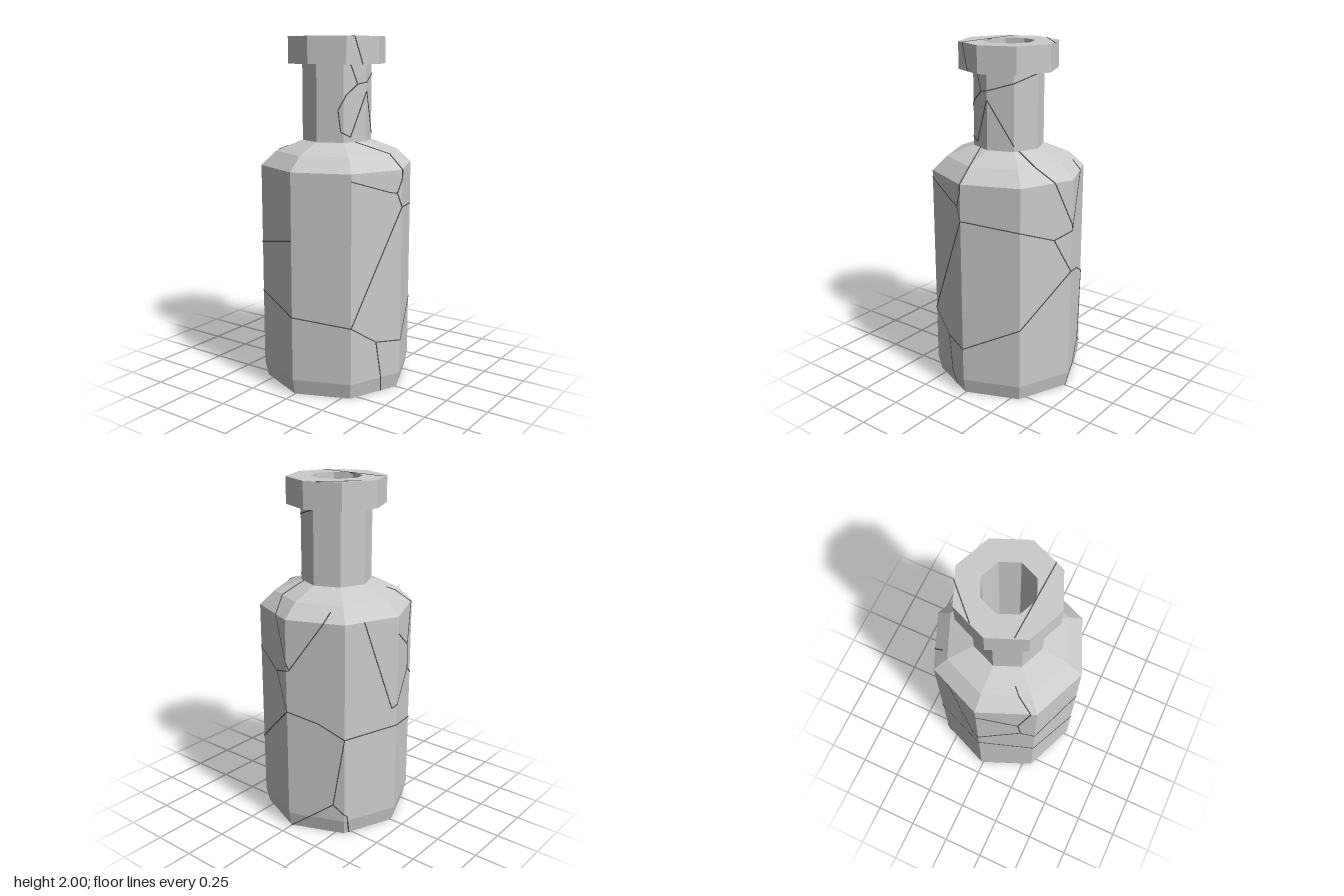
import * as THREE from 'three';
import { mergeGeometries } from 'three/addons/utils/BufferGeometryUtils.js';

const SIDES = 8;
const BODY = [[0.42, 0], [0.44, 0.09], [0.44, 1.28], [0.355, 1.36], [0.2, 1.42], [0.2, 1.85]];
const COLLAR = [[0.28, 1.85], [0.28, 2], [0.145, 2]];
const INSIDE = [[0.145, 1.4], [0.31, 1.33], [0.385, 1.25], [0.385, 0.1], [0.36, 0.06], [0, 0.06]];

// Radius of the outer wall at a height
function radiusAt(y) {
  for (let i = 1; i < BODY.length; i++) {
    const [r0, y0] = BODY[i - 1], [r1, y1] = BODY[i];
    if (y <= y1) return r0 + (r1 - r0) * (y - y0) / (y1 - y0);
  }
  return 0.2;
}

// Point on the eight-sided wall: u counts corners round from the front
function onWall(u, y, r = radiusAt(y)) {
  const corner = k => new THREE.Vector3(r * Math.sin(k * Math.PI / 4), y, r * Math.cos(k * Math.PI / 4));
  const k = Math.floor(u);
  return corner(k).lerp(corner(k + 1), u - k);
}

// Hair-thin bar let into the surface between two points
function crackBar(a, b) {
  const bar = new THREE.BoxGeometry(0.006, 0.006, a.distanceTo(b));
  const o = new THREE.Object3D();
  o.position.copy(a).lerp(b, 0.5);
  o.lookAt(b);
  o.updateMatrix();
  return bar.applyMatrix4(o.matrix);
}

// Crack along the wall, split wherever it crosses a corner or a profile ring
function wallCrack(points) {
  const bars = [];
  for (let i = 1; i < points.length; i++) {
    const [u0, y0] = points[i - 1], [u1, y1] = points[i];
    const cuts = [0, 1];
    for (let k = -3; k < 9; k++) if (u1 !== u0) cuts.push((k - u0) / (u1 - u0));
    for (const [, y] of BODY) if (y1 !== y0) cuts.push((y - y0) / (y1 - y0));
    const ts = cuts.filter(t => t >= 0 && t <= 1).sort((a, b) => a - b);
    for (let j = 1; j < ts.length; j++) {
      if (ts[j] - ts[j - 1] < 1e-4) continue;
      const at = t => onWall(u0 + (u1 - u0) * t, y0 + (y1 - y0) * t);
      bars.push(crackBar(at(ts[j - 1]), at(ts[j])));
    }
  }
  return bars;
}

// [corner count, height] along each crack
const WALL_CRACKS = [
  // front and left side
  [[-2, 0.46], [-1, 0.42], [-0.5, 0.31], [0, 0.29], [1, 0.45], [2, 0.74], [2.55, 0.69], [3, 0.61], [4, 0.63], [5, 0.535], [6, 0.46]],
  [[-0.5, 0.31], [-0.35, 0]],
  [[-1, 0.42], [0, 1.07], [1, 1.03], [1.65, 0.95], [2.05, 0.99], [2.75, 1.33]],
  [[1.65, 0.95], [2, 0.74]],
  [[0, 1.07], [-0.1, 1.15], [-0.25, 1.16], [-1, 1.24]],
  [[-0.1, 1.15], [0, 1.23], [0, 1.36], [-0.5, 1.42]],
  [[2.05, 0.99], [1.65, 1.28], [1.2, 1.42]],
  [[3, 0.61], [2.8, 0.19], [2, 0]],
  [[2.8, 0.19], [3.05, 0.12], [3.1, 0]],
  // back
  [[3.35, 1.28], [3.9, 0.74], [4.75, 0.89], [5, 0.83], [6, 0.9]],
  [[4.75, 0.89], [4.7, 1.04], [4.9, 1.28], [4.7, 1.38]],
  [[4.7, 1.04], [4, 1.18]],
  // neck
  [[-0.7, 1.45], [0, 1.7], [1, 1.45]],
  [[-1.2, 1.6], [-0.9, 1.68], [-0.4, 1.74], [0, 1.75], [2, 1.84]],
  [[-0.7, 1.45], [-1.1, 1.48], [-1.2, 1.6]],
  [[-0.4, 1.74], [-0.7, 1.85]],
];

export function createModel() {
  const group = new THREE.Group();
  const glass = new THREE.MeshStandardMaterial({ color: 0xcccccc, flatShading: true });
  const dark = new THREE.MeshStandardMaterial({ color: 0x555555, flatShading: true });

  // Hollow bottle: base, body, shoulder, neck, collar, then back down the inside
  const profile = [[0, 0], ...BODY, ...COLLAR, ...INSIDE].map(([r, y]) => new THREE.Vector2(r, y));
  const bottle = new THREE.Mesh(new THREE.LatheGeometry(profile, SIDES), glass);
  bottle.name = 'bottle';
  group.add(bottle);

  // Fracture lines on the wall
  const wall = new THREE.Mesh(mergeGeometries(WALL_CRACKS.flatMap(wallCrack)), dark);
  wall.name = 'wallCracks';
  group.add(wall);

  // Fracture lines across the collar
  const v = (x, y, z) => new THREE.Vector3(x, y, z);
  const rim = new THREE.Mesh(mergeGeometries([
    crackBar(v(-0.13, 1.999, -0.22), v(-0.15, 1.999, 0.215)),
    crackBar(v(0.09, 1.999, -0.24), v(0.255, 1.999, -0.07)),
    crackBar(onWall(-0.75, 2, 0.28), onWall(-0.5, 1.85, 0.28)),
  ]), dark);
  rim.name = 'collarCracks';
  group.add(rim);

  return group;
}
